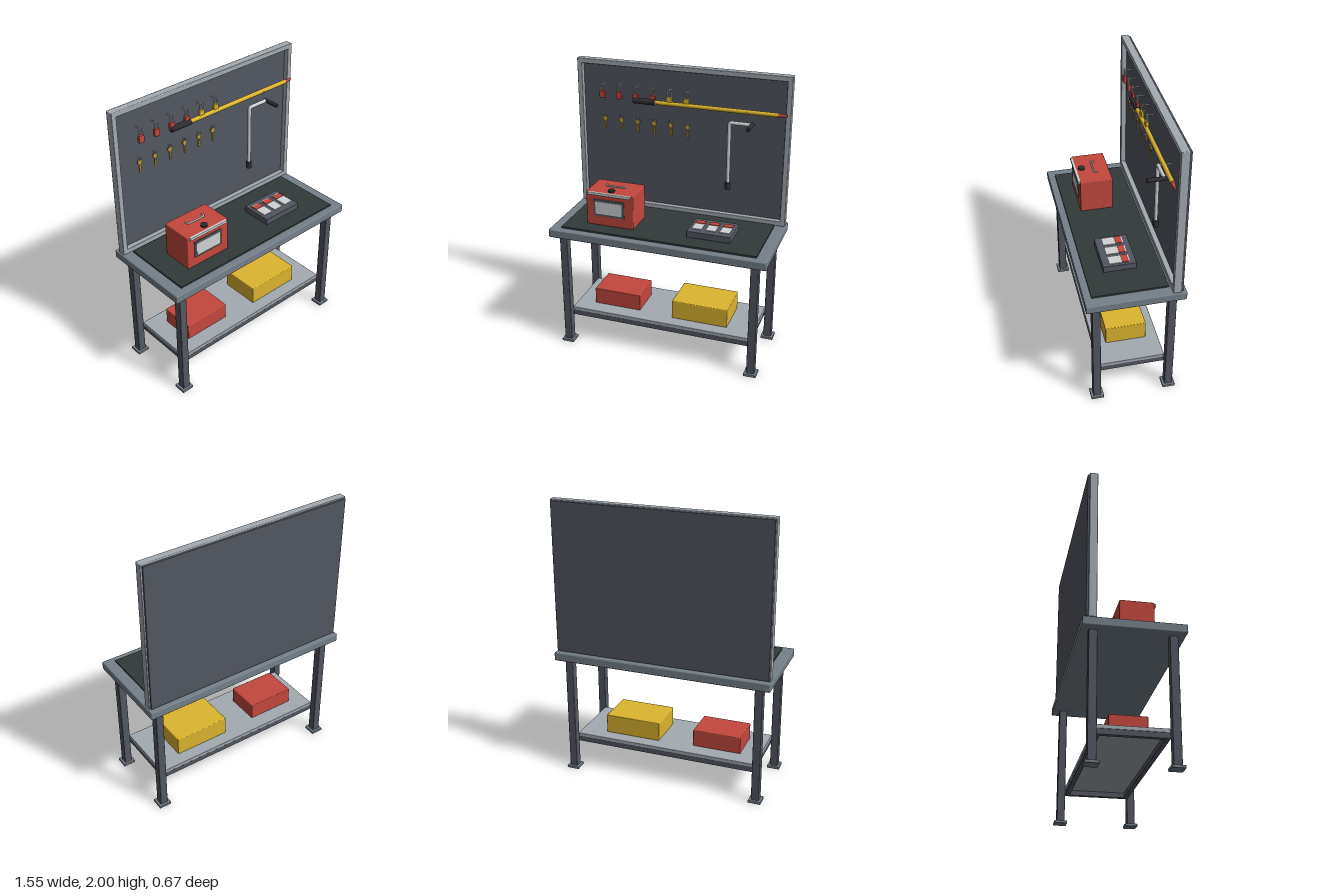
import * as THREE from 'three';
import { RoundedBoxGeometry } from 'three/addons/geometries/RoundedBoxGeometry.js';

const mat = (name, color, side = THREE.FrontSide) => {
  const m = new THREE.MeshStandardMaterial({ color, side });
  m.name = name;
  return m;
};

export function createModel() {
  const C = {
    steel: mat('bench steel', 0x75808a),
    dark: mat('dark steel', 0x535762),
    alu: mat('aluminium', 0xa3abb2),
    rubber: mat('rubber mat', 0x323a39),
    red: mat('red', 0xc4483e),
    yellow: mat('yellow', 0xdcb52f),
    black: mat('black', 0x2c2e32),
    pale: mat('pale metal', 0xd0d3d5),
    brass: mat('brass', 0xc9a227),
  };
  const root = new THREE.Group();
  root.name = 'lockoutWorkbench';

  const group = (name, parent = root) => {
    const g = new THREE.Group();
    g.name = name;
    parent.add(g);
    return g;
  };
  const add = (parent, name, geo, material, x = 0, y = 0, z = 0) => {
    const m = new THREE.Mesh(geo, material);
    m.name = name;
    m.position.set(x, y, z);
    parent.add(m);
    return m;
  };
  // Box given by its limits on each axis; r rounds the edges
  const box = (parent, name, material, [x0, x1], [y0, y1], [z0, z1], r = 0) => {
    const s = [x1 - x0, y1 - y0, z1 - z0];
    const geo = r ? new RoundedBoxGeometry(...s, 2, r) : new THREE.BoxGeometry(...s);
    return add(parent, name, geo, material, (x0 + x1) / 2, (y0 + y1) / 2, (z0 + z1) / 2);
  };
  // Cylinder from a to b
  const rod = (parent, name, material, a, b, r0, r1 = r0, sides = 20) => {
    const p = new THREE.Vector3(...a), q = new THREE.Vector3(...b);
    const d = q.clone().sub(p);
    const m = add(parent, name, new THREE.CylinderGeometry(r1, r0, d.length(), sides), material);
    m.position.copy(p).add(q).multiplyScalar(0.5);
    m.quaternion.setFromUnitVectors(new THREE.Vector3(0, 1, 0), d.normalize());
    return m;
  };
  // Bent wire made of straight pieces with softened corners
  const wire = (parent, name, material, pts, r) => {
    const path = new THREE.CurvePath();
    const v = pts.map(p => new THREE.Vector3(...p));
    let from = v[0];
    for (let i = 1; i < v.length - 1; i++) {
      const k = Math.min(0.015, v[i].distanceTo(v[i - 1]) * 0.45, v[i].distanceTo(v[i + 1]) * 0.45);
      const a = v[i].clone().add(v[i - 1].clone().sub(v[i]).setLength(k));
      const b = v[i].clone().add(v[i + 1].clone().sub(v[i]).setLength(k));
      path.add(new THREE.LineCurve3(from, a));
      path.add(new THREE.QuadraticBezierCurve3(a, v[i], b));
      from = b;
    }
    path.add(new THREE.LineCurve3(from, v[v.length - 1]));
    return add(parent, name, new THREE.TubeGeometry(path, 48, r, 10), material);
  };

  // Bench top and mat
  const bench = group('bench');
  box(bench, 'benchTop', C.steel, [-0.777, 0.777], [0.862, 0.922], [-0.333, 0.333], 0.008);
  box(bench, 'rubberMat', C.rubber, [-0.7, 0.7], [0.92, 0.934], [-0.23, 0.283]);

  // Legs and feet
  for (const x of [-0.69, 0.69]) for (const z of [-0.256, 0.256]) {
    box(bench, 'leg', C.dark, [x - 0.028, x + 0.028], [0.015, 0.865], [z - 0.028, z + 0.028], 0.005);
    box(bench, 'foot', C.steel, [x - 0.045, x + 0.045], [0, 0.02], [z - 0.045, z + 0.045], 0.004);
  }

  // Lower shelf on a frame of rails
  box(bench, 'shelf', C.alu, [-0.666, 0.666], [0.238, 0.265], [-0.232, 0.232], 0.004);
  for (const s of [-1, 1]) {
    box(bench, 'longRail', C.dark, [-0.665, 0.665], [0.203, 0.239], [s * 0.215 - 0.016, s * 0.215 + 0.016]);
    box(bench, 'endRail', C.dark, [s * 0.648 - 0.016, s * 0.648 + 0.016], [0.203, 0.239], [-0.2, 0.2]);
  }
  box(bench, 'redStorageBox', C.red, [-0.532, -0.182], [0.265, 0.387], [-0.125, 0.125], 0.006);
  box(bench, 'yellowStorageBox', C.yellow, [0.068, 0.477], [0.265, 0.403], [-0.145, 0.145], 0.006);

  // Upright tool board in an aluminium frame
  const board = group('toolBoard');
  box(board, 'boardPanel', C.dark, [-0.76, 0.76], [0.93, 1.99], [-0.308, -0.275]);
  for (const s of [-1, 1])
    box(board, 'sideFrame', C.alu, [s * 0.752 - 0.018, s * 0.752 + 0.018], [0.923, 2], [-0.295, -0.24], 0.005);
  for (const y of [0.941, 1.982])
    box(board, 'crossFrame', C.alu, [-0.768, 0.768], [y - 0.018, y + 0.018], [-0.295, -0.24], 0.005);

  // Padlocks and keys on pegs, in two rows
  for (let i = 0; i < 6; i++) {
    const x = -0.575 + i * 0.124;
    const lock = group('padlock', board);
    lock.position.set(x, 1.76, -0.225);
    box(lock, 'lockBody', i < 4 ? C.red : C.yellow, [-0.021, 0.021], [-0.026, 0.026], [-0.011, 0.011], 0.004);
    for (const s of [-1, 1]) rod(lock, 'shackleLeg', C.pale, [s * 0.014, 0.02, 0], [s * 0.014, 0.064, 0], 0.004, 0.004, 10);
    add(lock, 'shackleBow', new THREE.TorusGeometry(0.014, 0.004, 8, 16, Math.PI), C.pale, 0, 0.064, 0);
    rod(lock, 'peg', C.pale, [0, 0.068, -0.055], [0, 0.068, 0.014], 0.004, 0.004, 10);

    const key = group('key', board);
    key.position.set(x, 1.573, -0.258);
    rod(key, 'keyBow', C.brass, [0, 0, -0.004], [0, 0, 0.004], 0.018);
    box(key, 'keyBlade', C.brass, [-0.005, 0.005], [-0.078, -0.012], [-0.003, 0.003]);
    for (const y of [-0.068, -0.052, -0.038])
      box(key, 'keyTooth', C.brass, [0.004, 0.01], [y - 0.005, y + 0.005], [-0.003, 0.003]);
    add(key, 'keyRing', new THREE.TorusGeometry(0.012, 0.0025, 8, 20), C.pale, 0, 0.02, 0.004);
    rod(key, 'peg', C.pale, [0, 0.027, -0.02], [0, 0.027, 0.014], 0.003, 0.003, 10);
  }

  // Long yellow pole with grip and tip, on two hooks
  const pole = group('reachPole', board);
  const pz = -0.22, py = 1.738;
  rod(pole, 'poleShaft', C.yellow, [-0.19, py, pz], [0.69, py, pz], 0.015);
  rod(pole, 'poleGrip', C.black, [-0.34, py, pz], [-0.18, py, pz], 0.021);
  rod(pole, 'poleTip', C.red, [0.685, py, pz], [0.748, py, pz], 0.013, 0.008);
  for (const x of [-0.175, 0.472])
    wire(pole, 'poleHook', C.pale, [[x, py - 0.012, -0.278], [x, py - 0.012, -0.206], [x, py + 0.006, -0.201]], 0.005);

  // Crank with socket and turning grip
  const crank = group('crank', board);
  wire(crank, 'crankBar', C.pale, [[0.354, 1.2, -0.222], [0.354, 1.65, -0.222], [0.512, 1.65, -0.222]], 0.013);
  rod(crank, 'crankSocket', C.black, [0.354, 1.163, -0.222], [0.354, 1.215, -0.222], 0.02);
  rod(crank, 'crankGrip', C.black, [0.512, 1.65, -0.235], [0.512, 1.65, -0.11], 0.014);
  rod(crank, 'peg', C.pale, [0.472, 1.635, -0.278], [0.472, 1.635, -0.215], 0.005, 0.005, 10);

  // Red lock box with window, lid lip, knob and handle
  const kit = group('lockBox');
  box(kit, 'lockBoxBody', C.red, [-0.55, -0.202], [0.934, 1.183], [-0.058, 0.176], 0.007);
  box(kit, 'lidLip', C.pale, [-0.533, -0.22], [1.163, 1.183], [0.17, 0.189], 0.003);
  box(kit, 'windowFrame', C.dark, [-0.496, -0.268], [1.008, 1.132], [0.175, 0.182]);
  box(kit, 'windowPane', C.pale, [-0.48, -0.284], [1.024, 1.116], [0.18, 0.185]);
  rod(kit, 'lidKnob', C.black, [-0.376, 1.18, 0.135], [-0.376, 1.197, 0.135], 0.024);
  wire(kit, 'lidHandle', C.pale, [[-0.446, 1.188, 0.028], [-0.446, 1.19, 0.056],
    [-0.306, 1.19, 0.056], [-0.306, 1.188, 0.028]], 0.006);

  // Tray of three tags
  const tray = group('tagTray');
  box(tray, 'trayBody', C.dark, [0.176, 0.487], [0.934, 0.981], [-0.067, 0.161], 0.005);
  for (const x of [0.234, 0.333, 0.432]) {
    box(tray, 'tag', C.pale, [x - 0.035, x + 0.035], [0.98, 0.986], [-0.026, 0.113]);
    box(tray, 'tagHeader', C.red, [x - 0.035, x + 0.035], [0.982, 0.99], [-0.018, 0.026]);
  }
  return root;
}
